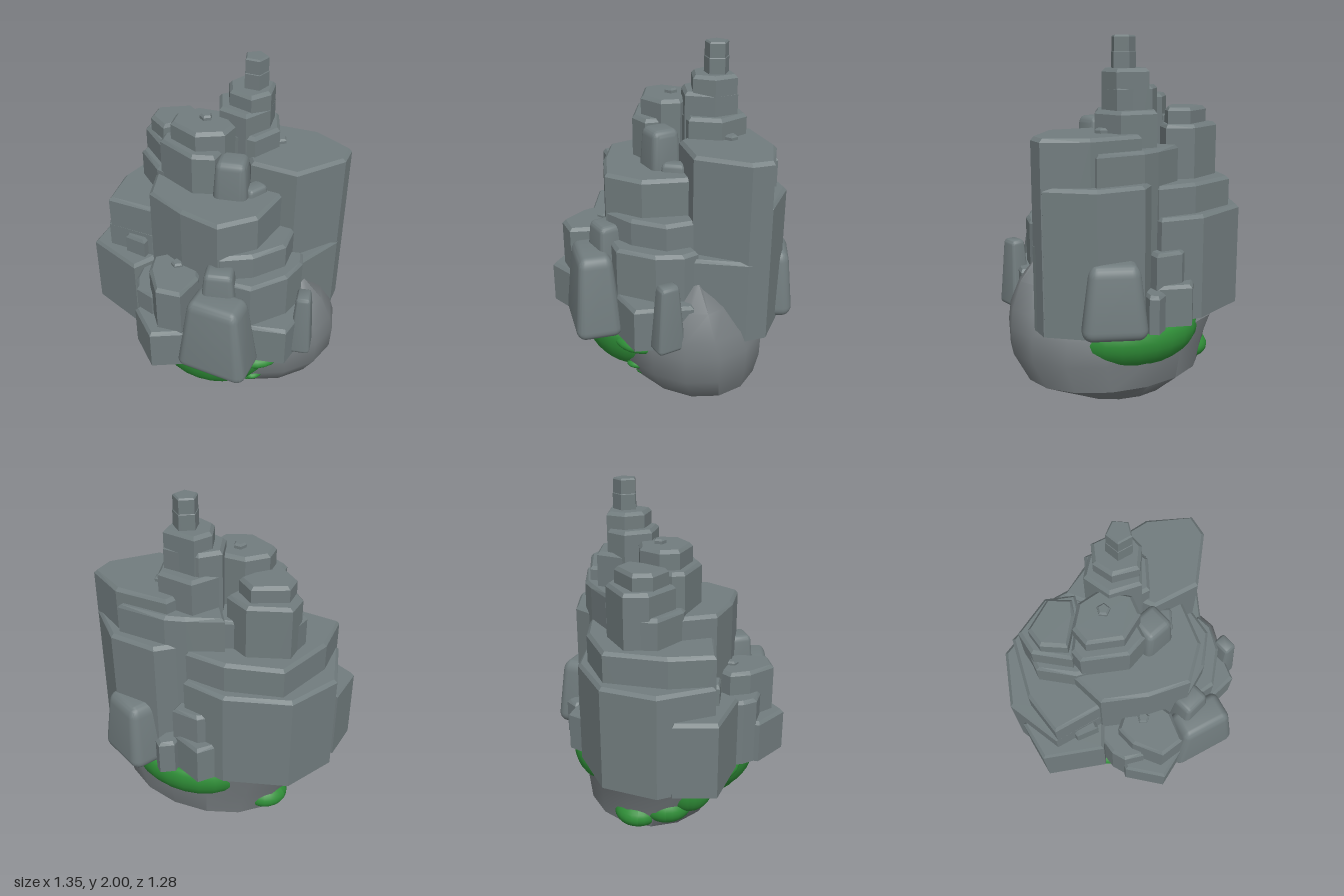
import * as THREE from 'three';
import { ConvexGeometry } from 'three/addons/geometries/ConvexGeometry.js';
import { RoundedBoxGeometry } from 'three/addons/geometries/RoundedBoxGeometry.js';
import { toCreasedNormals } from 'three/addons/utils/BufferGeometryUtils.js';

const material = (name, color) => {
  const m = new THREE.MeshStandardMaterial({ color });
  m.name = name;
  return m;
};

export function createModel() {
  const model = new THREE.Group();
  model.name = 'floatingRock';
  const stone = material('column stone', 0x717c7e);
  const rock = material('base rock', 0x767c7f);
  const moss = material('green moss', 0x2f8d37);

  const add = (name, geometry, mat) => {
    const mesh = new THREE.Mesh(geometry, mat);
    mesh.name = name;
    model.add(mesh);
    return mesh;
  };

  // Faceted column: outline of [x, z] corners with a chamfered top rim
  function column(name, top, outline, base = 0.54, bevel = 0.018) {
    const centre = outline.reduce((c, [x, z]) => c.add(new THREE.Vector2(x, z)), new THREE.Vector2())
      .divideScalar(outline.length);
    const points = [];
    for (const [x, z] of outline) {
      const p = new THREE.Vector2(x, z);
      const inner = p.clone().lerp(centre, bevel / p.distanceTo(centre));
      points.push(new THREE.Vector3(x, base, z), new THREE.Vector3(x, top - bevel, z),
        new THREE.Vector3(inner.x, top, inner.y));
    }
    add(name, new ConvexGeometry(points), stone);
  }

  const ring = (cx, cz, r, sides, turn = 0) => Array.from({ length: sides }, (_, i) => {
    const a = turn + i / sides * Math.PI * 2;
    return [cx + r * Math.cos(a), cz + r * Math.sin(a)];
  });

  // Tall rear column and its lower steps
  column('rearTallColumn', 1.525, [[0.1, -0.42], [0.39, -0.44], [0.605, -0.335], [0.605, -0.22], [0.42, 0.01], [0.17, 0], [0.03, -0.2]]);
  column('rearStep', 1.45, [[-0.17, -0.32], [0, -0.41], [0.1, -0.45], [0.37, -0.462], [0.3, -0.2], [0, -0.1]]);
  column('rearStep', 1.29, [[0.13, -0.51], [0.39, -0.51], [0.6, -0.34], [0.55, -0.2], [0.4, -0.05], [0.1, -0.1], [0.02, -0.4]]);
  column('rightStep', 1.0, [[0.6, -0.32], [0.607, -0.22], [0.47, 0.06], [0.25, 0.06], [0.3, -0.3]]);

  // Front terraces, from high to low
  column('frontTerrace', 1.38, [[-0.34, 0.07], [-0.29, 0.25], [-0.07, 0.345], [0.15, 0.39], [0.305, 0.24], [0.345, 0], [0.2, -0.2], [-0.2, -0.2]]);
  column('frontTerrace', 1.18, [[0.42, -0.05], [0.43, 0.15], [0.31, 0.3], [0.16, 0.385], [-0.06, 0.32], [-0.26, 0.22], [-0.2, -0.1]]);
  column('frontTerrace', 1.04, [[0.48, 0], [0.505, 0.08], [0.47, 0.22], [0.33, 0.385], [0.1, 0.4], [0, 0.1]]);
  column('frontRightBlock', 0.78, [[0.48, 0.02], [0.57, 0.05], [0.52, 0.35], [0.3, 0.4], [0.25, 0.2]]);

  // Left terraces
  column('leftTerrace', 1.26, [[-0.5, -0.32], [-0.22, -0.42], [0, -0.42], [0.05, -0.2], [0, 0.1], [-0.225, 0.24], [-0.55, 0.235], [-0.58, 0]]);
  column('leftTerrace', 1.1, [[-0.56, -0.335], [-0.24, -0.47], [0, -0.45], [0.05, 0.1], [-0.3, 0.24], [-0.56, 0.235], [-0.676, -0.055]]);
  column('leftLedge', 1.06, [[-0.46, 0.2], [-0.45, 0.26], [-0.33, 0.275], [-0.32, 0.2]]);
  column('leftFrontBlock', 0.95, [[-0.66, 0.02], [-0.66, 0.245], [-0.35, 0.365], [-0.28, 0.25], [-0.3, 0]]);

  // Left tower
  column('leftTower', 1.63, [[-0.44, -0.17], [-0.28, -0.265], [-0.18, -0.2], [-0.21, -0.12], [-0.32, 0.005], [-0.43, -0.07]]);
  column('leftTowerCollar', 1.545, [[-0.48, -0.215], [-0.28, -0.31], [-0.14, -0.25], [-0.18, -0.1], [-0.32, 0.04], [-0.475, -0.09]]);
  column('leftTowerFoot', 1.42, [[-0.475, -0.15], [0, -0.36], [0.05, 0], [-0.1, 0.14], [-0.33, 0.08], [-0.485, -0.05]]);

  // Middle tower
  column('middleTower', 1.7, [[-0.265, -0.04], [-0.18, -0.14], [-0.05, -0.15], [0.065, -0.04], [0.05, 0.06], [-0.08, 0.13], [-0.25, 0.06]]);
  column('middleTowerCollar', 1.6, [[-0.31, 0.02], [-0.2, -0.13], [0, -0.15], [0.04, 0.02], [0.03, 0.14], [-0.08, 0.178], [-0.3, 0.085]]);

  // Stepped spire
  column('spireTip', 2.0, ring(0.1, -0.22, 0.064, 5, 0.94), 1.5, 0.008);
  column('spireTipCollar', 1.925, ring(0.1, -0.22, 0.067, 5, 0.94), 1.5, 0.006);
  column('spireShaft', 1.84, [[-0.045, -0.22], [0, -0.315], [0.18, -0.305], [0.2, -0.18], [0.13, -0.085], [0, -0.12]]);
  column('spireShoulder', 1.755, [[-0.1, -0.22], [-0.02, -0.31], [0.18, -0.31], [0.2, -0.18], [0.12, -0.045], [-0.04, -0.08]]);
  column('spireFoot', 1.635, [[-0.095, -0.22], [-0.015, -0.37], [0.185, -0.36], [0.25, -0.2], [0.17, -0.05], [-0.03, -0.06]]);

  // Front buttress
  column('buttress', 1.035, [[-0.24, 0.33], [-0.215, 0.44], [-0.11, 0.575], [0.02, 0.56], [0.05, 0.4], [0, 0.28], [-0.15, 0.25]]);
  column('buttressStep', 0.91, [[-0.34, 0.22], [-0.32, 0.4], [-0.28, 0.47], [-0.18, 0.5], [-0.1, 0.3]]);
  column('buttressFoot', 0.775, [[-0.29, 0.49], [-0.125, 0.64], [0.06, 0.545], [0.06, 0.35], [-0.25, 0.35]]);

  // Small blocks at the back
  column('backBlock', 0.76, [[-0.13, -0.545], [0.04, -0.49], [0, -0.35], [-0.22, -0.42]]);
  column('backBlock', 0.74, [[0.02, -0.53], [0.085, -0.58], [0.125, -0.55], [0.1, -0.42], [0.03, -0.42]]);
  column('backBlock', 0.93, [[-0.1, -0.49], [0.05, -0.49], [0.05, -0.35], [-0.2, -0.4]]);

  // Little studs on the flat tops
  for (const [x, y, z] of [[-0.095, 1.725, -0.04], [0.24, 1.55, -0.255], [-0.095, 1.055, 0.35]])
    column('stud', y, ring(x, z, 0.034, 5, 0.3), y - 0.06, 0.01);

  // Rounded boulder: a soft box that narrows towards the top
  function boulder(w, h, d, x, base, z, taper, turn = 0) {
    const g = new RoundedBoxGeometry(w, h, d, 4, Math.min(w, d, h) * 0.22);
    const p = g.attributes.position;
    for (let i = 0; i < p.count; i++) {
      const s = 1 - (1 - taper) * (p.getY(i) / h + 0.5);
      p.setX(i, p.getX(i) * s);
      p.setZ(i, p.getZ(i) * s);
    }
    const mesh = add('boulder', toCreasedNormals(g, 0.7), stone);
    mesh.position.set(x, base + h / 2, z);
    mesh.rotation.y = turn;
  }
  boulder(0.4, 0.45, 0.25, 0.19, 0.545, 0.483, 0.68, -0.04);
  boulder(0.19, 0.24, 0.15, 0.165, 0.88, 0.4, 0.75, 0.25);
  boulder(0.12, 0.37, 0.16, 0.555, 0.55, 0.185, 0.62, 0.2);
  boulder(0.34, 0.38, 0.27, 0.29, 0.545, -0.48, 0.72, -0.38);
  boulder(0.19, 0.28, 0.18, 0.1, 1.3, 0.08, 0.8, 0.2);
  boulder(0.1, 0.12, 0.14, 0.205, 1.3, 0.04, 0.8, -0.5);

  // Base rock lofted through levels of [y, xMin, xMax, zMin, zMax]
  const levels = [
    [0, 0.13, 0.15, 0.04, 0.06], [0.035, -0.01, 0.22, -0.06, 0.11], [0.1, -0.24, 0.36, -0.34, 0.18],
    [0.21, -0.42, 0.59, -0.46, 0.28], [0.36, -0.475, 0.665, -0.48, 0.37], [0.5, -0.54, 0.672, -0.49, 0.38],
    [0.6, -0.48, 0.655, -0.42, 0.35], [0.74, -0.3, 0.6, -0.25, 0.22], [0.86, 0, 0.5, -0.05, 0.05]];
  const sides = 16, verts = [], faces = [];
  levels.forEach(([y, x0, x1, z0, z1], k) => {
    for (let i = 0; i < sides; i++) {
      const a = i / sides * Math.PI * 2;
      verts.push((x0 + x1) / 2 + (x1 - x0) / 2 * Math.cos(a), y,
        (z0 + z1) / 2 + (z1 - z0) / 2 * Math.sin(a));
      if (k < levels.length - 1) {
        const p = k * sides + i, q = k * sides + (i + 1) % sides;
        faces.push(p, p + sides, q, q, p + sides, q + sides);
      }
    }
  });
  const last = (levels.length - 1) * sides;
  for (let i = 1; i < sides - 1; i++) faces.push(0, i, i + 1, last, last + i + 1, last + i);
  const baseGeometry = new THREE.BufferGeometry();
  baseGeometry.setAttribute('position', new THREE.Float32BufferAttribute(verts, 3));
  baseGeometry.setIndex(faces);
  add('baseRock', toCreasedNormals(baseGeometry, 0.7), rock);

  // Moss swelling out of the rock, cut flat under the columns
  function mossPatch(x, y, z, rx, ry, rz) {
    const g = new THREE.SphereGeometry(1, 24, 16).scale(rx, ry, rz).translate(x, y, z);
    const p = g.attributes.position;
    for (let i = 0; i < p.count; i++) p.setY(i, Math.min(p.getY(i), 0.54));
    g.computeVertexNormals();
    add('mossPatch', g, moss);
  }
  // Front moss: main swelling, side bands and crumbs
  mossPatch(0.06, 0.5, 0.225, 0.35, 0.28, 0.285);
  mossPatch(-0.03, 0.36, 0.2, 0.16, 0.15, 0.22);
  mossPatch(0.3, 0.49, 0.25, 0.17, 0.06, 0.155);
  mossPatch(-0.2, 0.5, 0.22, 0.22, 0.07, 0.18);
  mossPatch(0.32, 0.33, 0.26, 0.055, 0.03, 0.08);
  mossPatch(0.28, 0.25, 0.2, 0.04, 0.04, 0.08);
  // Left and back moss
  mossPatch(-0.37, 0.42, 0.11, 0.1, 0.13, 0.13);
  mossPatch(-0.345, 0.31, -0.01, 0.13, 0.09, 0.14);
  mossPatch(-0.33, 0.27, -0.16, 0.135, 0.08, 0.13);
  mossPatch(0.07, 0.48, -0.28, 0.37, 0.2, 0.265);

  return model;
}
